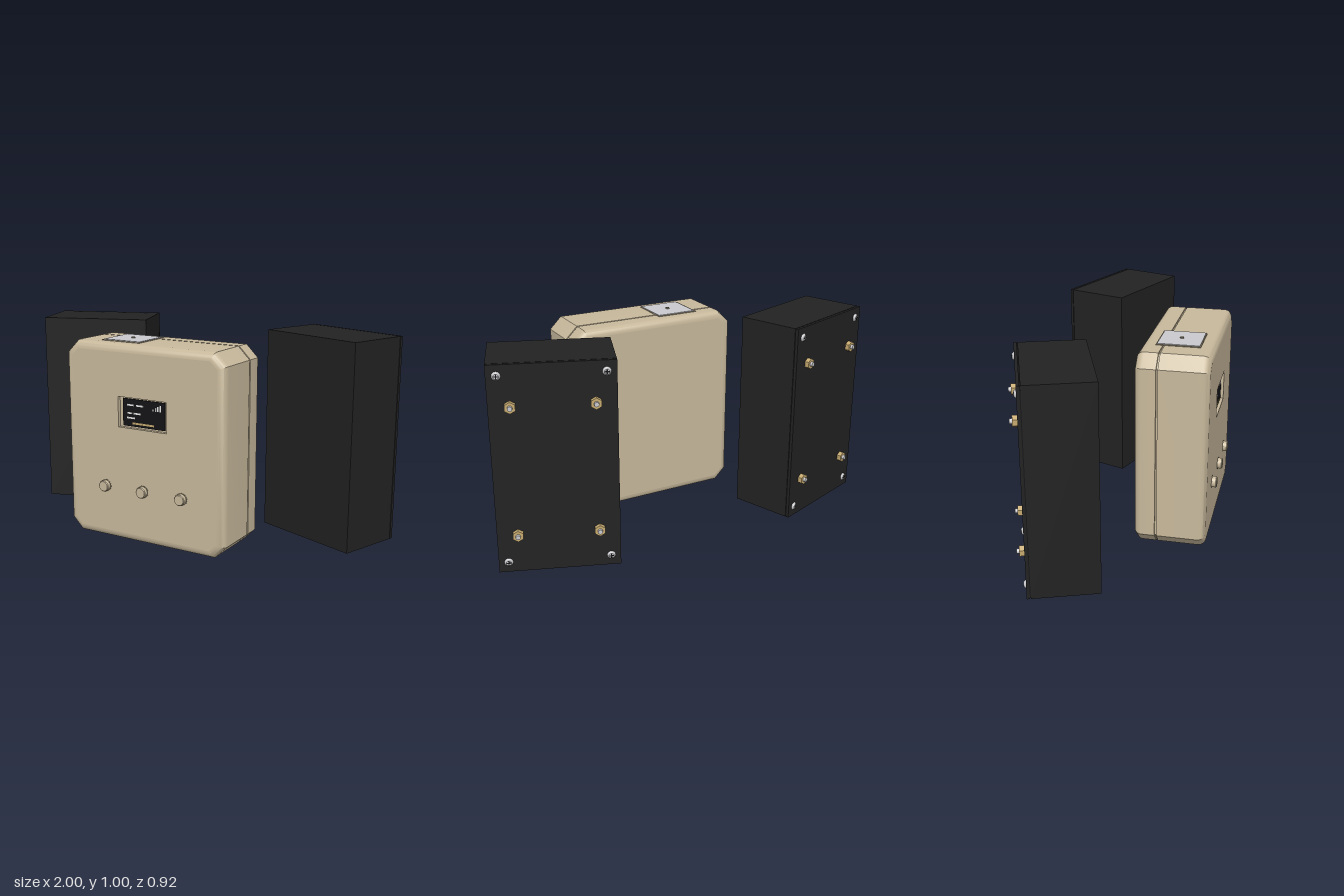
import * as THREE from 'three';
import { toCreasedNormals } from 'three/addons/utils/BufferGeometryUtils.js';

const mat = (name, color) => {
  const m = new THREE.MeshStandardMaterial({ color });
  m.name = name;
  return m;
};

export function createModel() {
  const tan = mat('tan plastic', 0xc8b99c);
  const black = mat('black plastic', 0x222222);
  const ink = mat('screen black', 0x141416);
  const brass = mat('brass', 0xc6aa70);
  const silver = mat('silver', 0xcacace);
  const white = mat('white pixels', 0xf0f0f0);
  const shade = mat('dark tan', 0x8f836c);

  const add = (parent, name, geo, material, x = 0, y = 0, z = 0) => {
    const m = new THREE.Mesh(geo, material);
    m.name = name;
    m.position.set(x, y, z);
    parent.add(m);
    return m;
  };
  const box = (w, h, d) => new THREE.BoxGeometry(w, h, d);
  // Cylinder whose axis runs along z
  const disc = (r1, r2, depth, sides) =>
    new THREE.CylinderGeometry(r1, r2, depth, sides).rotateX(Math.PI / 2);

  const model = new THREE.Group();
  model.name = 'speakerSet';

  // ---- Central unit: chamfered outline lofted along z ----
  const unit = new THREE.Group();
  unit.name = 'centralUnit';
  model.add(unit);
  const cy = 0.4875;

  // Outline inset by d, anticlockwise seen from the front
  const outline = (d) => {
    const x = 0.44 - d, y = 0.4825 - d, c = 0.06 - d * 0.586;
    return [[x, c - y], [x, y - c], [x - c, y], [c - x, y],
      [-x, y - c], [-x, c - y], [c - x, -y], [x - c, -y]]
      .map(([a, b]) => new THREE.Vector2(a, b + cy));
  };
  const rBack = 0.035, rFront = 0.038, zBack = 0.09, zFront = 0.434, steps = 6;
  const rings = [];
  for (let i = 0; i <= steps; i++) {
    const a = (i / steps) * Math.PI / 2;
    rings.push([zBack + rBack * (1 - Math.cos(a)), rBack * (1 - Math.sin(a))]);
  }
  // Seam groove between the two shells
  rings.push([0.191, 0], [0.192, 0.007], [0.198, 0.007], [0.199, 0]);
  for (let i = 0; i <= steps; i++) {
    const a = (i / steps) * Math.PI / 2;
    rings.push([zFront - rFront * (1 - Math.sin(a)), rFront * (1 - Math.cos(a))]);
  }
  const pos = [], index = [];
  rings.forEach(([z, d], j) => {
    outline(d).forEach((p) => pos.push(p.x, p.y, z));
    if (j === 0) return;
    for (let i = 0; i < 8; i++) {
      const a = (j - 1) * 8 + i, b = (j - 1) * 8 + (i + 1) % 8;
      index.push(a, b, b + 8, a, b + 8, a + 8);
    }
  });
  const shell = new THREE.BufferGeometry();
  shell.setAttribute('position', new THREE.Float32BufferAttribute(pos, 3));
  shell.setIndex(index);
  add(unit, 'housingShell', toCreasedNormals(shell, 0.6), tan);

  add(unit, 'backFace', new THREE.ShapeGeometry(new THREE.Shape(outline(rBack))).rotateY(Math.PI), tan, 0, 0, zBack);

  // Front face with the display opening
  const rect = (Type, w, h, y) => new Type([[-w, -h], [w, -h], [w, h], [-w, h]]
    .map(([a, b]) => new THREE.Vector2(a / 2, b / 2 + y)));
  const sy = 0.647;
  const face = new THREE.Shape(outline(rFront));
  face.holes.push(rect(THREE.Path, 0.27, 0.148, sy));
  add(unit, 'frontFace', new THREE.ShapeGeometry(face), tan, 0, 0, zFront);
  const frame = rect(THREE.Shape, 0.29, 0.168, sy);
  frame.holes.push(rect(THREE.Path, 0.27, 0.148, sy));
  add(unit, 'displayFrame', new THREE.ExtrudeGeometry(frame, { depth: 0.023, bevelEnabled: false }), tan, 0, 0, 0.41);
  add(unit, 'displayBed', box(0.27, 0.148, 0.005), tan, 0, sy, 0.4125);
  add(unit, 'displayScreen', box(0.235, 0.132, 0.006), ink, 0.002, sy, 0.418);

  // Screen marks: short dashes, level bars and a progress strip
  const mark = (name, m, x, y, w, h) => add(unit, name, box(w, h, 0.002), m, x, y, 0.422);
  [[-0.073, 0.684, 0.038], [-0.02, 0.684, 0.04], [-0.075, 0.645, 0.025],
    [-0.035, 0.645, 0.04], [-0.07, 0.622, 0.045]]
    .forEach(([x, y, w]) => mark('screenDash', white, x, y, w, 0.008));
  for (let i = 0; i < 4; i++) {
    const h = 0.01 + i * 0.007;
    mark('levelBar', white, 0.056 + i * 0.013, 0.668 + h / 2, 0.007, h);
  }
  mark('progressStrip', brass, 0, 0.597, 0.12, 0.009);

  // Three push buttons
  for (const x of [-0.215, 0, 0.215]) {
    add(unit, 'buttonGap', disc(0.031, 0.031, 0.002, 32), shade, x, 0.27, 0.4345);
    add(unit, 'button', disc(0.027, 0.027, 0.02, 32), tan, x, 0.27, 0.444);
    add(unit, 'buttonCap', disc(0.024, 0.027, 0.004, 32), tan, x, 0.27, 0.456)
      .geometry.computeBoundingBox();
  }

  // Square plate with a centre pin on the top
  add(unit, 'topPlateBase', box(0.215, 0.006, 0.21), shade, -0.163, 0.97, 0.262);
  add(unit, 'topPlate', box(0.205, 0.006, 0.2), silver, -0.16, 0.973, 0.262);
  add(unit, 'topPin', new THREE.CylinderGeometry(0.009, 0.01, 0.008, 16), shade, -0.16, 0.977, 0.262);

  // Port slots underneath
  for (const x of [0, -0.2]) {
    add(unit, 'portRim', box(0.12, 0.004, 0.05), tan, x, 0.004, 0.31);
    add(unit, 'portSlot', box(0.09, 0.004, 0.024), shade, x, 0.0025, 0.31);
  }

  // ---- Two angled side cabinets ----
  for (const s of [1, -1]) {
    const cab = new THREE.Group();
    cab.name = s > 0 ? 'leftCabinet' : 'rightCabinet';
    cab.position.set(s * 0.68, 0.505, -0.208);
    cab.rotation.y = -s * THREE.MathUtils.degToRad(20);
    model.add(cab);

    add(cab, 'cabinetBody', box(0.56, 1, 0.312), black, 0, 0, 0.009);
    add(cab, 'panelGap', box(0.552, 0.992, 0.004), ink, 0, 0, -0.149);
    add(cab, 'backPanel', box(0.56, 1, 0.014), black, 0, 0, -0.158);
    add(cab, 'bottomTab', box(0.075, 0.005, 0.03), ink, 0, -0.5025, 0);

    for (const x of [-1, 1]) for (const y of [-1, 1]) {
      // Corner screw with a cross slot
      add(cab, 'panelScrew', disc(0.02, 0.012, 0.01, 24), silver, x * 0.235, y * 0.45, -0.17);
      for (const [w, h] of [[0.022, 0.005], [0.005, 0.022]])
        add(cab, 'screwSlot', box(w, h, 0.002), ink, x * 0.235, y * 0.45, -0.1753);
      // Hex nut on a bolt end
      const nut = add(cab, 'hexNut', disc(0.027, 0.027, 0.022, 6), brass, x * 0.185, y * 0.31, -0.176);
      nut.geometry = toCreasedNormals(nut.geometry, 0.3);
      add(cab, 'boltEnd', disc(0.013, 0.011, 0.034, 16), silver, x * 0.185, y * 0.31, -0.182);
    }
  }
  return model;
}
